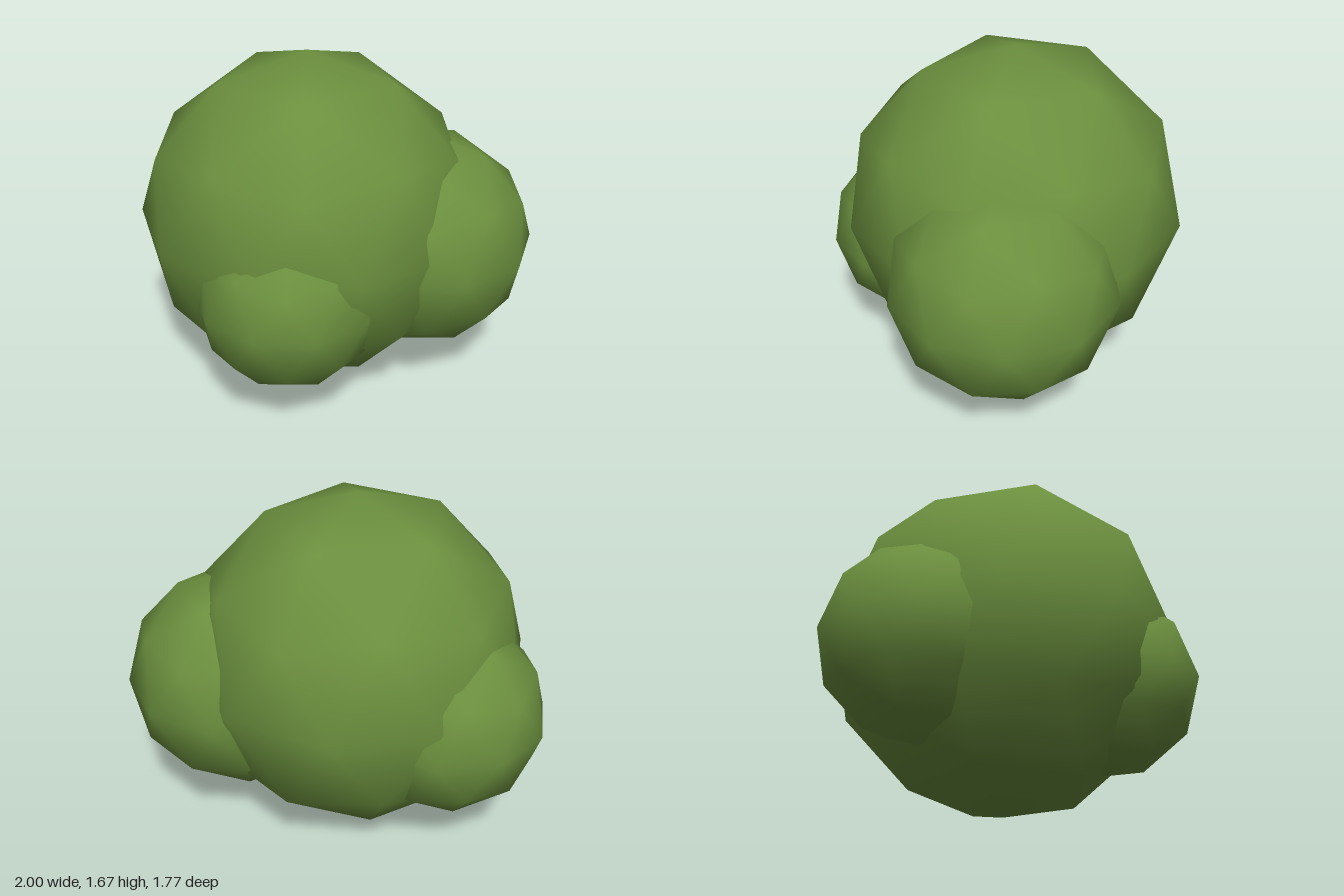
import * as THREE from 'three';

export function createModel() {
  const group = new THREE.Group();
  group.name = 'bush';
  const leaves = new THREE.MeshStandardMaterial({ color: 0x6b8f3e });

  // Tilt that puts one corner of the icosahedron at the top
  const tilt = -Math.atan(2 / (1 + Math.sqrt(5)));

  // Overlapping round clumps of foliage: name, radius, centre
  const clumps = [
    ['mainClump', 0.835, [-0.085, 0.835, -0.05]],
    ['leftClump', 0.55, [0.475, 0.73, -0.165]],
    ['rightClump', 0.48, [-0.543, 0.7, -0.3]],
    ['frontClump', 0.45, [-0.015, 0.63, 0.432]],
  ];
  for (const [name, radius, centre] of clumps) {
    const geometry = new THREE.IcosahedronGeometry(radius, 1).rotateZ(tilt);
    const clump = new THREE.Mesh(geometry, leaves);
    clump.name = name;
    clump.position.set(...centre);
    group.add(clump);
  }
  return group;
}
